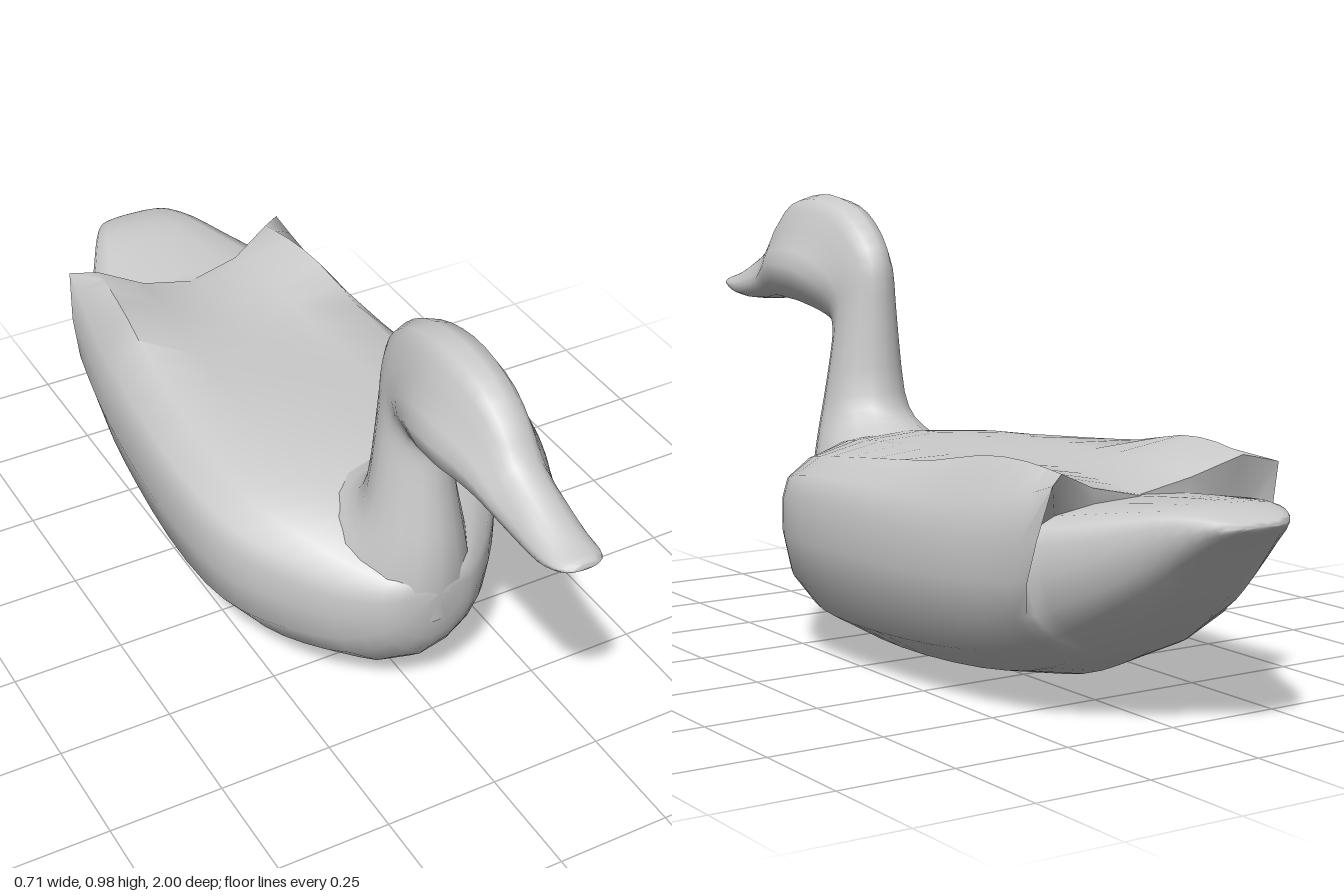
import * as THREE from 'three';
import { toCreasedNormals } from 'three/addons/utils/BufferGeometryUtils.js';

const V = (x, y, z) => new THREE.Vector3(x, y, z);
const material = new THREE.MeshStandardMaterial({ color: 0xcccccc });

// Smoothly fills in rows of numbers between the given key rows
function refine(rows, steps) {
  const out = [];
  const at = (i) => rows[Math.min(Math.max(i, 0), rows.length - 1)];
  for (let i = 0; i < rows.length - 1; i++) {
    for (let s = 0; s < steps; s++) {
      const t = s / steps;
      out.push(rows[i].map((b, k) => {
        const a = at(i - 1)[k], c = at(i + 1)[k], d = at(i + 2)[k];
        return 0.5 * (2 * b + (c - a) * t + (2 * a - 5 * b + 4 * c - d) * t * t
          + (3 * b - a - 3 * c + d) * t * t * t);
      }));
    }
  }
  out.push(rows[rows.length - 1]);
  return out;
}

// Skins closed rings (counter-clockwise about the direction of travel) and caps the far end
function loft(name, rings) {
  const n = rings[0].length, points = rings.flat(), index = [];
  for (let i = 0; i < rings.length - 1; i++) {
    for (let j = 0; j < n; j++) {
      const a = i * n + j, b = i * n + (j + 1) % n;
      index.push(a, b, a + n, b, b + n, a + n);
    }
  }
  const last = (rings.length - 1) * n, centre = points.length;
  points.push(rings.at(-1).reduce((sum, p) => sum.add(p), V(0, 0, 0)).divideScalar(n));
  for (let j = 0; j < n; j++) index.push(last + j, last + (j + 1) % n, centre);
  const geometry = new THREE.BufferGeometry().setFromPoints(points);
  geometry.setIndex(index);
  const mesh = new THREE.Mesh(toCreasedNormals(geometry, 1.1), material);
  mesh.name = name;
  return mesh;
}

// Turns a half profile into a full symmetric loop, -x side first
const fullLoop = (half) => [
  ...half.map(([x, ...rest]) => [-x, ...rest]),
  ...half.slice(1, -1).reverse(),
];

// Body with folded wings and tail:
// z, half width, bottom, top, wing ridge lift, wing tip sweep, shoulder slope
function makeBody() {
  const wingBody = [
    [0.513, 0.003, 0.32, 0.34, 0, 0, 1],
    [0.5, 0.065, 0.235, 0.37, 0, 0, 1],
    [0.475, 0.115, 0.155, 0.392, 0, 0, 1],
    [0.4, 0.19, 0.072, 0.42, 0, 0, 1],
    [0.3, 0.265, 0.03, 0.45, 0, 0, 0.8],
    [0.2, 0.322, 0.012, 0.466, 0, 0, 0.45],
    [0.08, 0.35, 0.002, 0.476, 0, 0, 0.1],
    [-0.1, 0.353, 0.003, 0.477, 0.016, 0, 0],
    [-0.3, 0.337, 0.018, 0.466, 0.046, 0, 0],
    [-0.46, 0.32, 0.046, 0.457, 0.083, 0, 0],
    [-0.57, 0.302, 0.085, 0.448, 0.092, 0.35, 0],
    [-0.64, 0.286, 0.118, 0.44, 0.085, 1, 0],
  ];
  const tail = [
    [-0.645, 0.27, 0.12, 0.438, 0, 0, 0],
    [-0.72, 0.235, 0.17, 0.447, 0, 0, 0],
    [-0.82, 0.178, 0.25, 0.458, 0, 0, 0],
    [-0.9, 0.135, 0.33, 0.462, 0, 0, 0],
    [-0.96, 0.1, 0.39, 0.452, 0, 0, 0],
    [-0.985, 0.075, 0.412, 0.444, 0, 0, 0],
    [-1, 0.04, 0.427, 0.436, 0, 0, 0],
  ];
  // across, up, share of lift, share of sweep, drop where the shoulder slopes
  const section = fullLoop([[0, 0, 0, 0, 0], [0.42, 0.06, 0, 0, 0], [0.76, 0.2, 0, 0, 0],
    [0.93, 0.35, 0, 0, 0], [1, 0.57, 0, 0.3, 0.03], [1, 0.76, 0.05, 0.65, 0.07],
    [0.955, 0.87, 0.3, 1, 0.09], [0.77, 0.94, 1, 0.5, 0.06], [0.42, 0.985, 0.35, 0.1, 0.02],
    [0, 1, 0, 0, 0]]);
  const rows = [...refine(wingBody, 2), ...refine(tail, 2)];
  return loft('body', rows.map(([z, w, low, high, lift, sweep, slope]) =>
    section.map(([x, y, up, back, drop]) => V(x * w,
      low + (y - drop * slope) * (high - low) + up * lift + Math.max(back - 0.5, 0) * sweep * 0.14,
      z - back * sweep * 0.09))));
}

// Neck, head and bill: back z, back y, front z, front y, half width, head shape, bill shape
function makeNeckAndHead() {
  const rows = [
    [0.13, 0.44, 0.506, 0.25, 0.165, 0, 0],
    [0.2, 0.463, 0.515, 0.34, 0.137, 0, 0],
    [0.262, 0.488, 0.513, 0.43, 0.111, 0, 0],
    [0.292, 0.54, 0.501, 0.51, 0.093, 0, 0],
    [0.302, 0.66, 0.484, 0.61, 0.077, 0, 0],
    [0.306, 0.76, 0.479, 0.66, 0.069, 0.1, 0],
    [0.312, 0.84, 0.49, 0.688, 0.072, 0.4, 0],
    [0.35, 0.9, 0.53, 0.706, 0.086, 0.8, 0],
    [0.42, 0.95, 0.57, 0.716, 0.1, 1, 0],
    [0.5, 0.974, 0.605, 0.722, 0.107, 1, 0],
    [0.58, 0.979, 0.645, 0.724, 0.107, 1, 0],
    [0.67, 0.962, 0.69, 0.727, 0.096, 1, 0],
    [0.74, 0.915, 0.735, 0.726, 0.083, 0.9, 0.1],
    [0.79, 0.85, 0.785, 0.721, 0.07, 0.5, 0.5],
    [0.86, 0.812, 0.855, 0.716, 0.062, 0.1, 0.9],
    [0.92, 0.785, 0.92, 0.718, 0.058, 0, 1],
    [0.965, 0.77, 0.965, 0.734, 0.053, 0, 1],
    [0.99, 0.765, 0.99, 0.743, 0.04, 0, 1],
    [1, 0.76, 1, 0.749, 0.022, 0, 1],
  ];
  const round = [0, 0.38, 0.71, 0.92, 1, 0.92, 0.71, 0.38, 0];
  const pear = [0, 0.32, 0.49, 0.63, 0.84, 1, 0.86, 0.55, 0];
  const flat = [0, 0.36, 0.62, 0.82, 0.96, 1, 0.9, 0.5, 0];
  const along = [0, 0.04, 0.15, 0.31, 0.5, 0.64, 0.83, 0.96, 1];
  return loft('neckAndHead', refine(rows, 2).map(([bz, by, fz, fy, w, head, bill]) => {
    const neck = 1 - head - bill;
    const half = along.map((t, i) => [round[i] * neck + pear[i] * head + flat[i] * bill, t]);
    return fullLoop(half).map(([x, t]) =>
      V(x * w, by + t * (fy - by), bz + t * (fz - bz)));
  }));
}

export function createModel() {
  const duck = new THREE.Group();
  duck.name = 'duck';
  duck.add(makeBody(), makeNeckAndHead());
  return duck;
}
